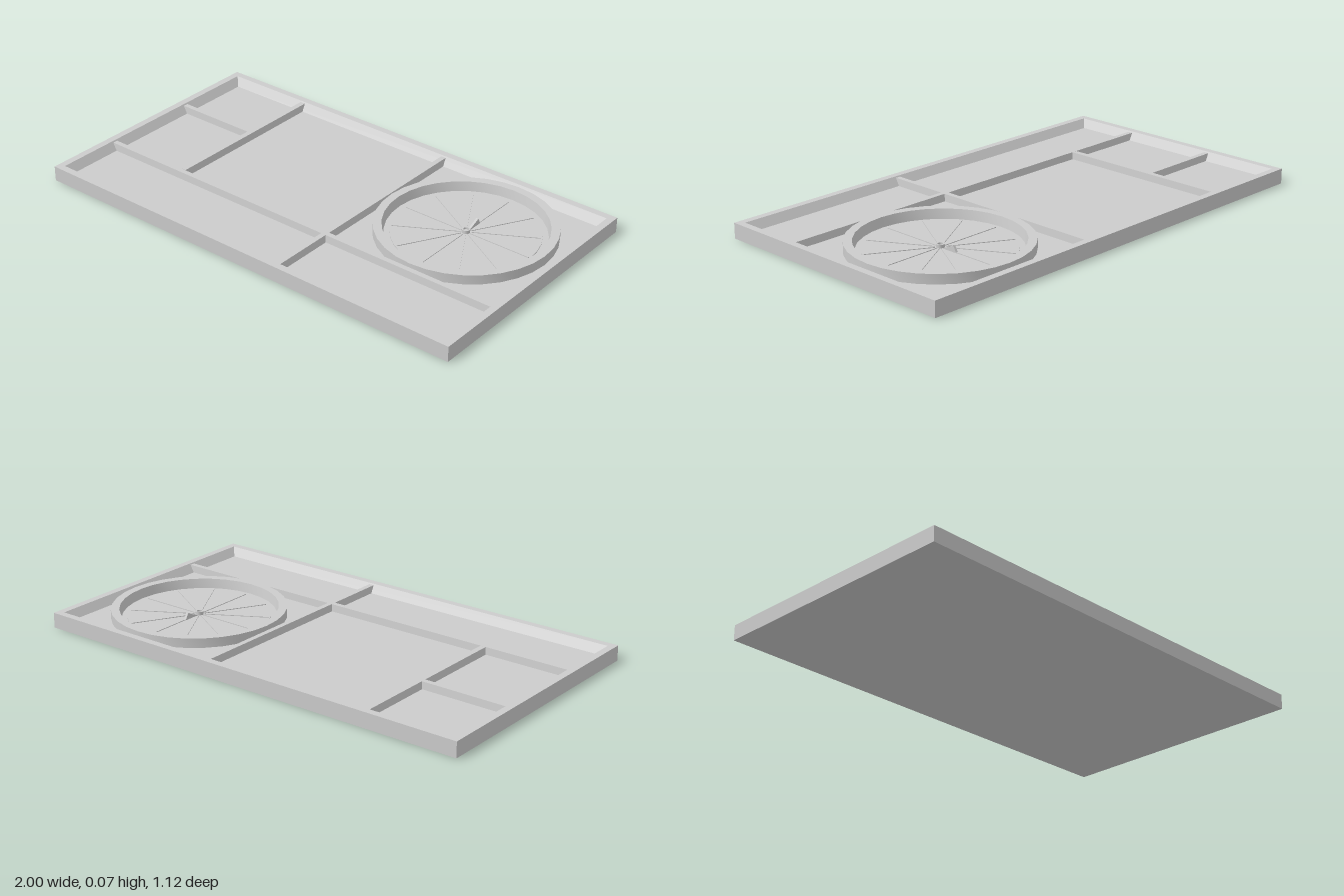
import * as THREE from 'three';
import { toCreasedNormals } from 'three/addons/utils/BufferGeometryUtils.js';

const FLOOR = 0.03, RIM = 0.065, DIVIDER = 0.06;
const DIAL = { x: 0.575, z: -0.14 };
const flat = new THREE.MeshStandardMaterial({ color: 0xcccccc, flatShading: true });
const smooth = new THREE.MeshStandardMaterial({ color: 0xcccccc });

function add(parent, name, geometry, material = flat) {
  const mesh = new THREE.Mesh(geometry, material);
  mesh.name = name;
  parent.add(mesh);
  return mesh;
}

// Skin a stack of rectangles [halfX, halfZ, y], each centred on the y axis
function rectLoft(loops) {
  const corners = [[1, 1], [1, -1], [-1, -1], [-1, 1]];
  const pos = [];
  const point = ([hx, hz, y], i) => {
    const [sx, sz] = corners[i % 4];
    return [sx * hx, y, sz * hz];
  };
  for (let k = 0; k + 1 < loops.length; k++) {
    for (let i = 0; i < 4; i++) {
      const a = point(loops[k], i), b = point(loops[k], i + 1);
      const c = point(loops[k + 1], i + 1), d = point(loops[k + 1], i);
      pos.push(...a, ...b, ...c, ...a, ...c, ...d);
    }
  }
  const geometry = new THREE.BufferGeometry();
  geometry.setAttribute('position', new THREE.Float32BufferAttribute(pos, 3));
  geometry.computeVertexNormals();
  return geometry;
}

function lathe(profile, segments) {
  const points = profile.map(([r, y]) => new THREE.Vector2(r, y));
  return toCreasedNormals(new THREE.LatheGeometry(points, segments), 0.5);
}

// Divider with slightly sloping sides, spanning x0..x1 and z0..z1
function addDivider(parent, name, x0, x1, z0, z1) {
  const hx = (x1 - x0) / 2, hz = (z1 - z0) / 2, slope = 0.004;
  const tx = hx < hz ? hx - slope : hx, tz = hx < hz ? hz : hz - slope;
  const geometry = rectLoft([[hx, hz, FLOOR], [tx, tz, DIVIDER], [0, 0, DIVIDER]]);
  add(parent, name, geometry).position.set((x0 + x1) / 2, 0, (z0 + z1) / 2);
}

export function createModel() {
  const model = new THREE.Group();
  model.name = 'compartmentTray';

  // Tray with a rim whose inner faces slope down to the floor
  add(model, 'tray', rectLoft([
    [0, 0, 0], [1, 0.56, 0], [1, 0.56, RIM],
    [0.97, 0.53, RIM], [0.945, 0.505, FLOOR], [0, 0, FLOOR],
  ]));

  // Compartment dividers
  addDivider(model, 'frontDivider', -0.966, 0.966, 0.231, 0.261);
  addDivider(model, 'rightDivider', -0.598, -0.566, -0.526, 0.234);
  addDivider(model, 'leftDivider', 0.168, 0.198, -0.526, 0.526);
  addDivider(model, 'smallDivider', -0.966, -0.592, -0.2, -0.17);

  // Round dial in the back left compartment
  const dial = new THREE.Group();
  dial.name = 'dial';
  dial.position.set(DIAL.x, 0, DIAL.z);
  model.add(dial);
  add(dial, 'dialRing', lathe([
    [0.365, FLOOR], [0.365, 0.07], [0.33, 0.07], [0.322, FLOOR],
  ], 32), smooth);
  add(dial, 'dialPlate', lathe([[0.298, FLOOR], [0.298, 0.034], [0, 0.034]], 32), smooth);

  // Twelve thin spokes
  for (let i = 0; i < 12; i++) {
    const geometry = new THREE.BoxGeometry(0.27, 0.004, 0.005);
    geometry.translate(0.157, 0.035, 0);
    add(dial, 'spoke', geometry).rotation.y = (i * Math.PI) / 6;
  }

  // Hub and upright fin at the centre
  add(dial, 'hub', lathe([
    [0.017, 0.033], [0.017, 0.048], [0.011, 0.048], [0.011, 0.04], [0, 0.04],
  ], 16), smooth);
  const finShape = new THREE.Shape();
  finShape.moveTo(0.015, 0.034);
  finShape.lineTo(0.09, 0.034);
  finShape.lineTo(0.075, 0.06);
  finShape.closePath();
  const finGeometry = new THREE.ExtrudeGeometry(finShape, { depth: 0.01, bevelEnabled: false });
  finGeometry.translate(0, 0, -0.005);
  add(dial, 'fin', finGeometry).rotation.y = Math.PI / 2;

  return model;
}
